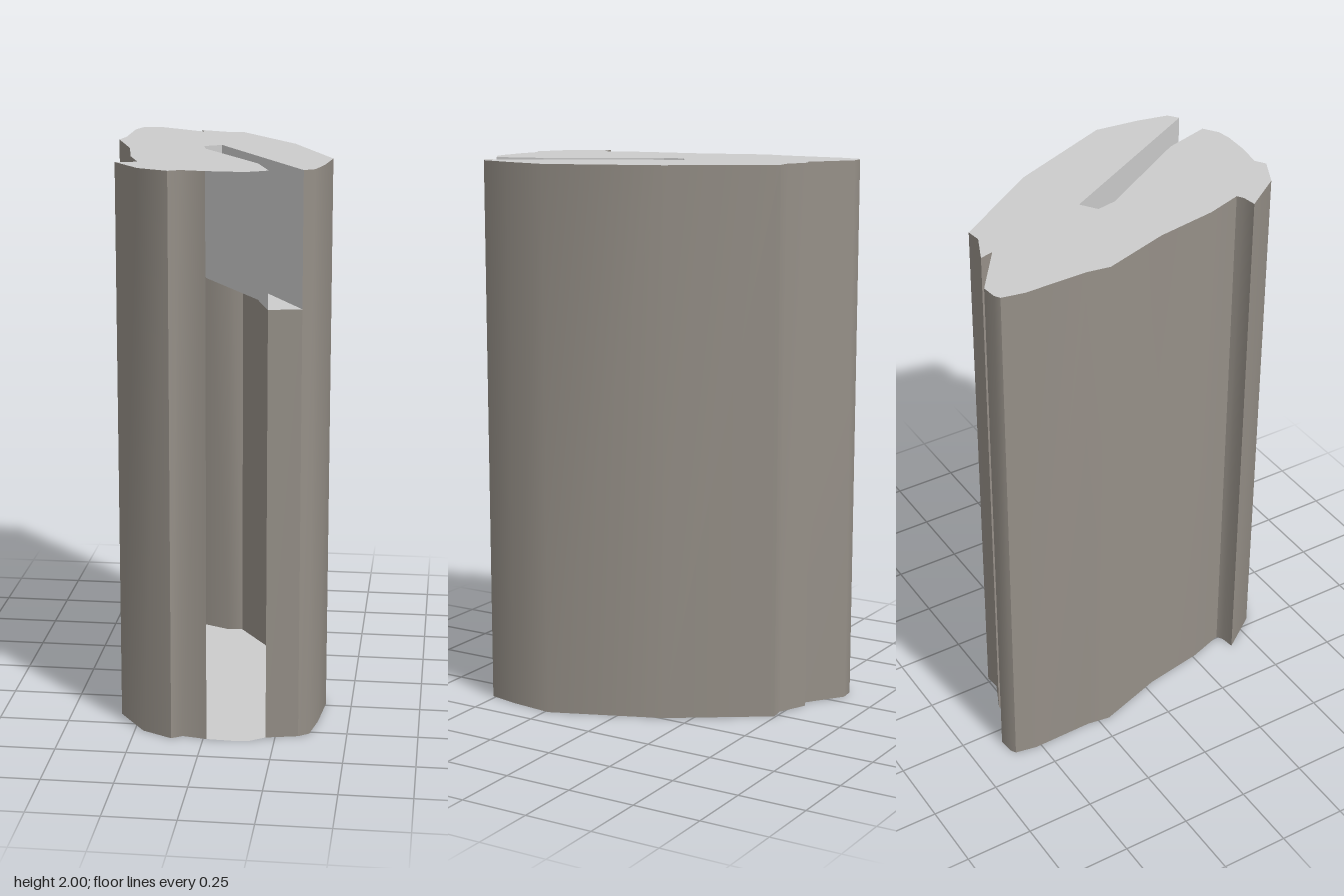
import * as THREE from 'three';
import { toCreasedNormals } from 'three/addons/utils/BufferGeometryUtils.js';

const HEIGHT = 2;
const SLOT_FLOOR = 1.535;

// Plan outline [x, z], from the slot mouth round the back to the open front gap
const OUTLINE = [
  [0.33, 0.54], [0.367, 0.513], [0.39, 0.4], [0.407, 0.237], [0.245, -0.155],
  [0.018, -0.494], [-0.036, -0.488], [-0.144, -0.537], [-0.131, -0.488],
  [-0.31, -0.617], [-0.365, -0.612], [-0.385, -0.6], [-0.4, -0.52],
  [-0.396, -0.293], [-0.409, -0.208], [-0.33, 0.036], [-0.29, 0.262],
  [-0.246, 0.394], [-0.27, 0.408], [-0.32, 0.415], [-0.22, 0.556],
  [-0.112, 0.611], [-0.074, 0.587], [0.012, 0.603],
];
// Front edge left open in the wall
const GAP = [[0.113, 0.608], [0.165, 0.6], [0.217, 0.565]];
// Slot walls, from the mouth inwards and back out
const SLOT = [
  [0.217, 0.565], [0.165, 0.395], [-0.06, 0.023],
  [-0.075, -0.05], [-0.015, -0.09], [0.33, 0.54],
];

// Upright strip following a plan path
function strip(path, y0, y1, crease) {
  const pos = [];
  for (let i = 0; i < path.length - 1; i++) {
    const [ax, az] = path[i];
    const [bx, bz] = path[i + 1];
    pos.push(ax, y0, az, bx, y0, bz, bx, y1, bz);
    pos.push(ax, y0, az, bx, y1, bz, ax, y1, az);
  }
  const geo = new THREE.BufferGeometry();
  geo.setAttribute('position', new THREE.Float32BufferAttribute(pos, 3));
  geo.computeVertexNormals();
  return toCreasedNormals(geo, crease);
}

// Flat horizontal face, facing up or down
function plate(path, y, up) {
  const s = up ? -1 : 1;
  const shape = new THREE.Shape(path.map(([x, z]) => new THREE.Vector2(x, s * z)));
  return new THREE.ShapeGeometry(shape).rotateX(s * Math.PI / 2).translate(0, y, 0);
}

export function createModel() {
  const wallMat = new THREE.MeshStandardMaterial({ color: 0x958f87, side: THREE.DoubleSide });
  wallMat.name = 'warm grey';
  const faceMat = new THREE.MeshStandardMaterial({ color: 0xcccccc, side: THREE.DoubleSide });
  faceMat.name = 'light grey';

  const group = new THREE.Group();
  const add = (name, geo, mat) => {
    const mesh = new THREE.Mesh(geo, mat);
    mesh.name = name;
    group.add(mesh);
  };

  // Outer shell, with the low panel under the slot mouth
  add('outerWall', strip(OUTLINE, 0, HEIGHT, 0.75), wallMat);
  add('mouthPanel', strip([SLOT[0], OUTLINE[0]], 0, SLOT_FLOOR, 0.75), wallMat);

  // End faces
  add('bottomFace', plate([...OUTLINE, ...GAP], 0, false), faceMat);
  add('topFace', plate([...OUTLINE, ...GAP, ...SLOT.slice(1, -1)], HEIGHT, true), faceMat);

  // Slot cut into the top
  add('slotWalls', strip(SLOT, SLOT_FLOOR, HEIGHT, 0.1), faceMat);
  add('slotFloor', plate(SLOT, SLOT_FLOOR, true), faceMat);

  return group;
}
